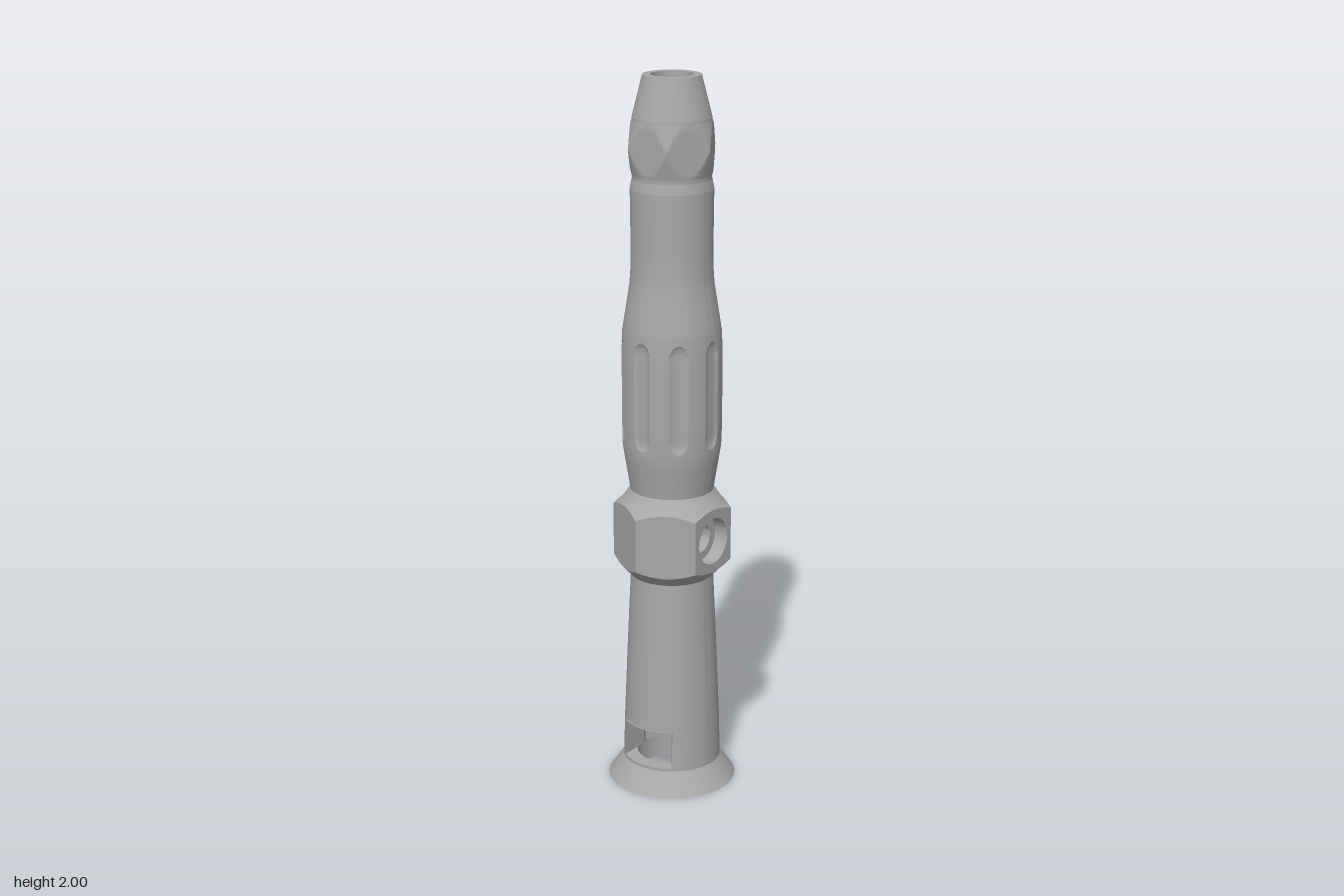
import * as THREE from 'three';
import { toCreasedNormals } from 'three/addons/utils/BufferGeometryUtils.js';

const steel = new THREE.MeshStandardMaterial({ color: 0xa8a8a8, side: THREE.DoubleSide });
steel.name = 'grey steel';
const { sin, cos, abs, sqrt, min, max, asin, PI } = Math;
const SEG = 192;
const BORE = 0.057, SOCKET = 0.098;       // main bore and wider base opening
const HOLE_Y = 0.735, HOLE_R = 0.042;     // cross hole through the nut
const SLOT = 0.082, SLOT_LOW = 0.07, SLOT_HIGH = 0.18;

function mesh(name, geometry) {
  const m = new THREE.Mesh(geometry, steel);
  m.name = name;
  return m;
}

// Skin between cross-sections: column(t) gives the points of one column
function loft(name, columns, keep = () => true) {
  const pos = [];
  for (let j = 0; j < columns.length - 1; j++) {
    const a = columns[j], b = columns[j + 1];
    for (let i = 0; i < a.length - 1; i++) {
      if (!keep(i, j)) continue;
      pos.push(...a[i], ...b[i], ...b[i + 1], ...a[i], ...b[i + 1], ...a[i + 1]);
    }
  }
  const g = new THREE.BufferGeometry();
  g.setAttribute('position', new THREE.Float32BufferAttribute(pos, 3));
  return mesh(name, toCreasedNormals(g, 0.45));
}

// Turned part whose [radius, height] profile may vary with the angle (0 = front)
function turned(name, profile, keep, from = 0, to = 2 * PI) {
  const angle = (j) => from + ((to - from) * j) / SEG;
  const columns = [];
  for (let j = 0; j <= SEG; j++) {
    const t = angle(j);
    columns.push(profile(t).map(([r, y]) => [r * sin(t), y, r * cos(t)]));
  }
  return loft(name, columns, keep && ((i, j) => keep(i, angle(j + 0.5))));
}

// Distance from the axis to a hexagon with a flat facing angle "flat"
function hexRadius(t, apothem, flat) {
  const s = PI / 3;
  const d = ((((t - flat + s / 2) % s) + s) % s) - s / 2;
  return apothem / cos(d);
}

// Horizontal plate from [x, z] points
function plate(name, points, y, holeR) {
  const shape = new THREE.Shape(points.map(([x, z]) => new THREE.Vector2(x, z)));
  if (holeR) shape.holes.push(new THREE.Path().absarc(0, 0, holeR, 0, 2 * PI, true));
  const g = new THREE.ShapeGeometry(shape, 48);
  g.rotateX(PI / 2);
  g.translate(0, y, 0);
  return mesh(name, g);
}

function arc(r, from, to, n = 40) {
  return Array.from({ length: n + 1 }, (_, i) => {
    const t = from + ((to - from) * i) / n;
    return [r * sin(t), r * cos(t)];
  });
}

const rows = (from, to, n) => Array.from({ length: n + 1 }, (_, i) => from + ((to - from) * i) / n);

function addFoot(group) {
  const outer = 0.137, high = 0.134;
  group.add(turned('flaredFoot', () => [
    [SOCKET, SLOT_LOW], [SOCKET, 0], [0.18, 0], [outer, 0.062], [outer, SLOT_LOW]]));
  // Shaft wall broken by the front slot
  const gap = asin(SLOT / outer);
  group.add(turned('slottedWall', () => [[outer, SLOT_LOW], [high, SLOT_HIGH]], undefined, gap, 2 * PI - gap));
  group.add(turned('lowerShaft', () => [[high, SLOT_HIGH], [0.125, 0.4], [0.115, 0.615]]));
  // Hexagonal pocket that opens to the front
  const z0 = outer * cos(gap), h = 0.0485, d = 0.084;
  const pocket = [[SLOT, 0.026], [0.097, 0], [h, -d], [-h, -d], [-0.097, 0], [-SLOT, 0.026]];
  const outline = [[SLOT, z0], ...pocket, [-SLOT, z0]];
  group.add(loft('pocketWalls', outline.map(([x, z]) => [[x, SLOT_LOW, z], [x, SLOT_HIGH, z]])));
  group.add(plate('pocketCeiling', [...outline, ...arc(outer, -gap, gap)], SLOT_HIGH, BORE));
  const inGap = asin(SLOT / SOCKET);
  group.add(plate('slotSill', [...arc(outer, -gap, gap), ...arc(SOCKET, inGap, -inGap)], SLOT_LOW));
  group.add(plate('pocketLedge', [...arc(SOCKET, inGap, 2 * PI - inGap), ...[...pocket].reverse()], SLOT_LOW));
}

function addNut(group) {
  const A = 0.142, V = A / cos(PI / 6);
  const top = (r) => 0.81 + (V - r) / 1.4;
  const bottom = (r) => 0.66 - (V - r) / 1.4;
  group.add(turned('hexNut', (t) => {
    const r = hexRadius(t, A, PI / 2);
    return [[0.115, 0.615], [A, bottom(A)], [r, bottom(r)], [r, top(r)], [A, top(A)], [0.115, 0.865]];
  }, (i, t) => i !== 2 || abs(sin(t)) < 0.866));

  // Two drilled side faces: round counterbore on one, hexagonal recess on the other
  for (const side of [1, -1]) {
    const radius = side > 0 ? () => 0.065 : (t) => hexRadius(t, 0.047, PI / 6);
    const depth = side > 0 ? 0.1 : 0.07;
    const n = 60;
    const zs = rows(-V / 2, V / 2, 16);
    const edge = (f) => zs.map((z) => new THREE.Vector2(z, f(sqrt(A * A + z * z))));
    const face = new THREE.Shape([...edge(bottom), ...edge(top).reverse()]);
    const loop = rows(0, 2 * PI, n);
    face.holes.push(new THREE.Path(loop.slice(0, n).map((t) =>
      new THREE.Vector2(radius(t) * sin(t), HOLE_Y + radius(t) * cos(t)))));
    const g = new THREE.ShapeGeometry(face);
    g.rotateY((side * PI) / 2);
    g.translate(side * A, 0, 0);
    group.add(mesh('drilledFace', g));
    group.add(loft('sideHole', loop.map((t) => {
      const r = radius(t), z = HOLE_R * sin(t);
      const p = (x, q) => [side * x, HOLE_Y + q * cos(t), -side * q * sin(t)];
      return [p(A, r), p(depth, r), p(depth, HOLE_R), p(sqrt(BORE * BORE - z * z), HOLE_R)];
    })));
  }
}

function addGrip(group) {
  const levels = [0.865, 0.9, 0.95, ...rows(0.99, 1.05, 15), ...rows(1.07, 1.23, 4),
    ...rows(1.25, 1.31, 15), 1.34, 1.4, 1.44, 1.47, 1.55, 1.7];
  const curve = [[0.115, 0.865], [0.135, 0.99], [0.137, 1.05], [0.137, 1.25], [0.135, 1.31],
    [0.113, 1.45], [0.11, 1.5], [0.112, 1.7]];
  const radiusAt = (y) => {
    const k = max(1, curve.findIndex((p) => p[1] >= y - 1e-6));
    const [r0, y0] = curve[k - 1], [r1, y1] = curve[k];
    return r0 + ((r1 - r0) * (y - y0)) / (y1 - y0);
  };
  // Eight round-ended flutes pressed into the barrel
  group.add(turned('flutedGrip', (t) => levels.map((y) => {
    const r = radiusAt(y), s = PI / 4;
    const across = (((t + s / 2) % s) - s / 2) * r;
    const along = max(0, abs(y - 1.15) - 0.115) * 0.7;
    const q = (across * across + along * along) / (0.024 * 0.024);
    return [r - 0.008 * sqrt(max(0, 1 - q)), y];
  })));
}

function addTip(group) {
  // Six pointed corners stand out of a round collar
  group.add(turned('pointedCollar', (t) => rows(1.7, 1.89, 38).map((y) => {
    const round = max(0.106, 0.112 - 0.2 * (y - 1.7));
    const corner = min(hexRadius(t, 0.108, 0), 0.125 - 0.25 * abs(y - 1.81));
    return [max(round, corner), y];
  })));
  group.add(turned('taperedTip', () => [[0.106, 1.89], [0.078, 2], [BORE, 2]]));
}

function addBore(group) {
  // Inner wall, opened where the cross hole meets it
  group.add(turned('bore', (t) => {
    const z = BORE * cos(t);
    const h = sqrt(max(0, HOLE_R * HOLE_R - z * z));
    return [[BORE, 2], [BORE, HOLE_Y + h], [BORE, HOLE_Y - h], [BORE, SLOT_HIGH]];
  }, (i, t) => i !== 1 || abs(BORE * cos(t)) > HOLE_R));
}

export function createModel() {
  const group = new THREE.Group();
  group.name = 'hollowNozzle';
  for (const add of [addFoot, addNut, addGrip, addTip, addBore]) add(group);
  return group;
}
